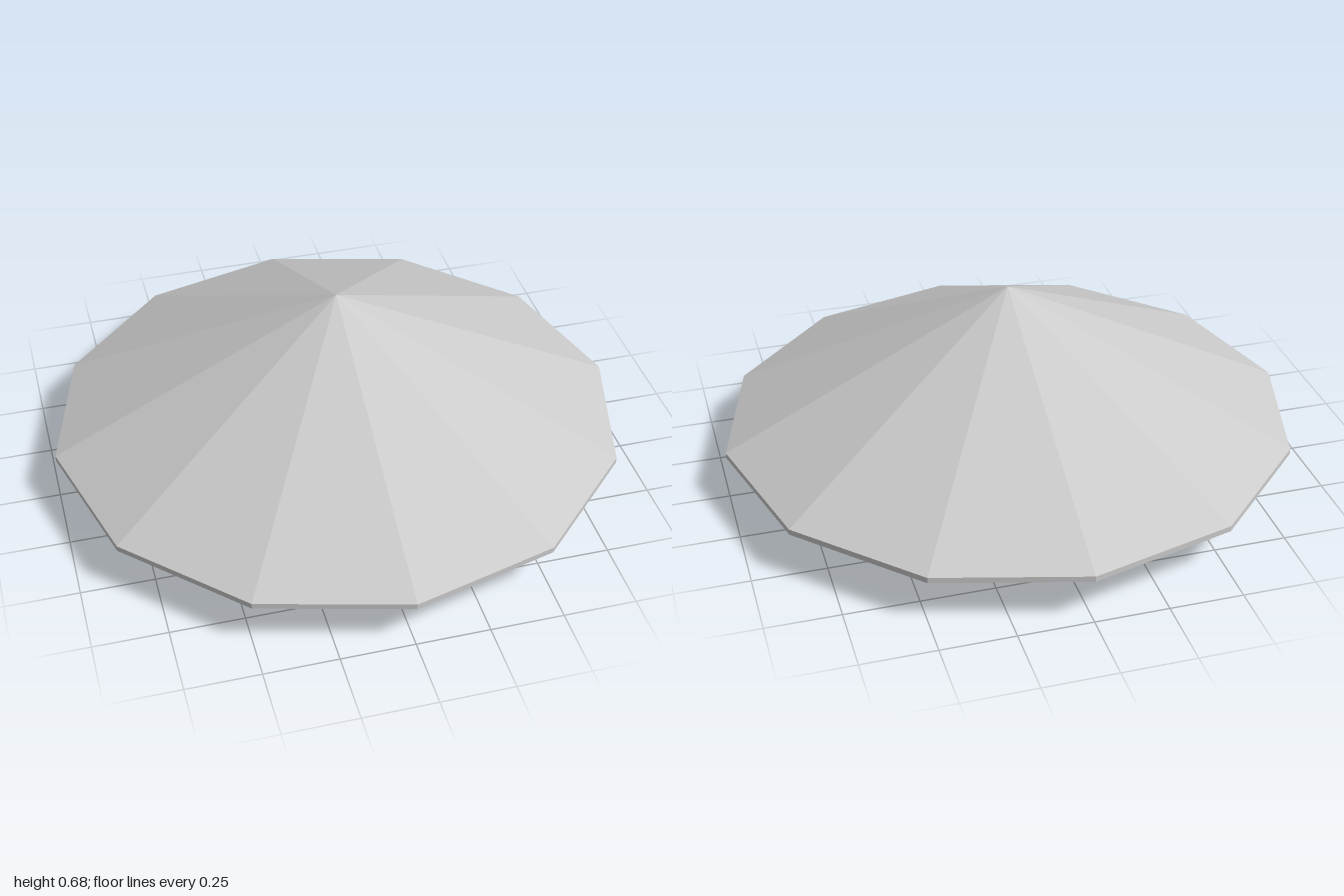
import * as THREE from 'three';

export function createModel() {
  const model = new THREE.Group();
  const material = new THREE.MeshStandardMaterial({ color: 0xcccccc, flatShading: true });

  // Hollow conical shade: inner apex, thin rim, outer apex
  const profile = [[0, 0.657], [1, 0.157], [1, 0.177], [0, 0.677]]
    .map(([r, y]) => new THREE.Vector2(r, y));
  const shade = new THREE.Mesh(new THREE.LatheGeometry(profile, 12), material);
  shade.name = 'shade';
  model.add(shade);

  // Faceted bulb hanging inside the shade
  const bulb = new THREE.Mesh(new THREE.SphereGeometry(0.3, 8, 8), material);
  bulb.name = 'bulb';
  bulb.position.y = 0.3;
  model.add(bulb);

  return model;
}
